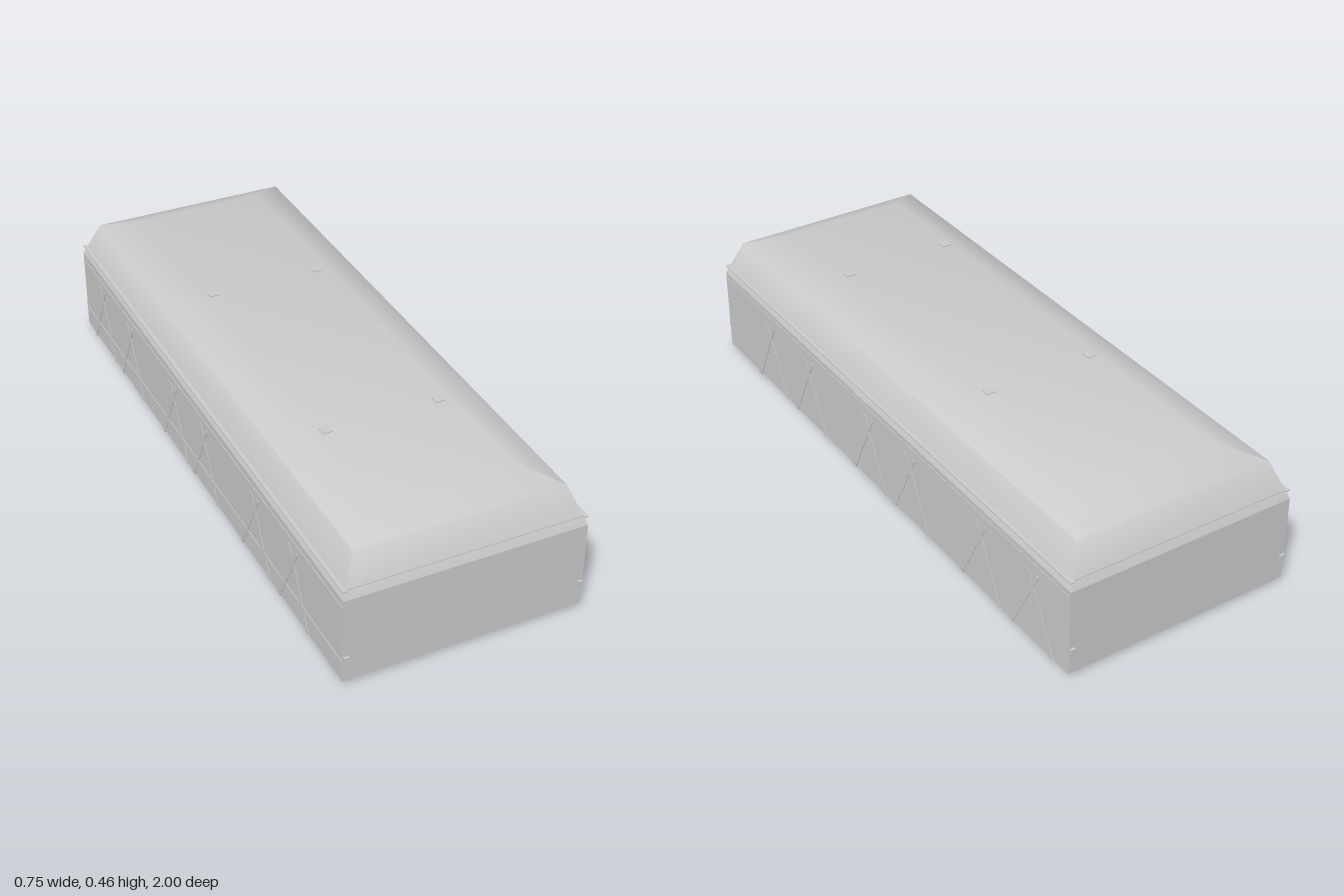
import * as THREE from 'three';
import { toCreasedNormals } from 'three/addons/utils/BufferGeometryUtils.js';

const grey = new THREE.MeshStandardMaterial({ color: 0xcccccc });

function add(parent, name, geometry, x = 0, y = 0, z = 0) {
  const mesh = new THREE.Mesh(geometry, grey);
  mesh.name = name;
  mesh.position.set(x, y, z);
  parent.add(mesh);
  return mesh;
}

const box = (parent, name, w, h, d, x, y, z) =>
  add(parent, name, new THREE.BoxGeometry(w, h, d), x, y, z);

// Rectangular rings [halfWidth, y, halfLength] joined from bottom to top and capped.
function hippedRoof(rings) {
  const points = [];
  const index = [];
  for (const [w, y, l] of rings) points.push(-w, y, l, w, y, l, w, y, -l, -w, y, -l);
  for (let r = 0; r < rings.length - 1; r++) {
    for (let i = 0; i < 4; i++) {
      const a = r * 4 + i;
      const b = r * 4 + (i + 1) % 4;
      index.push(a, b, b + 4, a, b + 4, a + 4);
    }
  }
  const t = (rings.length - 1) * 4;
  index.push(t, t + 1, t + 2, t, t + 2, t + 3);
  const geometry = new THREE.BufferGeometry();
  geometry.setAttribute('position', new THREE.Float32BufferAttribute(points, 3));
  geometry.setIndex(index);
  return toCreasedNormals(geometry, THREE.MathUtils.degToRad(50));
}

// Slanted bar on a side wall, with ends cut level, from (z0, y0) to (z1, y1).
function strutGeometry(z0, z1, y0, y1, width, depth) {
  const h = width / 2;
  const shape = new THREE.Shape([
    new THREE.Vector2(-z0 - h, y0), new THREE.Vector2(-z0 + h, y0),
    new THREE.Vector2(-z1 + h, y1), new THREE.Vector2(-z1 - h, y1),
  ]);
  const geometry = new THREE.ExtrudeGeometry(shape, { depth, bevelEnabled: false });
  return geometry.rotateY(Math.PI / 2);
}

export function createModel() {
  const model = new THREE.Group();
  model.name = 'container';

  // Main shell
  box(model, 'body', 0.742, 0.278, 1.986, 0, 0.151, 0);
  add(model, 'roof', hippedRoof([
    [0.371, 0.29, 0.993], [0.323, 0.408, 0.945], [0.205, 0.457, 0.833],
  ]));

  // Thin trim around the foot of the roof
  for (const s of [-1, 1]) {
    box(model, 'sideTrim', 0.014, 0.004, 1.98, s * 0.364, 0.317, 0);
    box(model, 'endTrim', 0.72, 0.003, 0.008, 0, 0.317, s * 0.979);
  }

  // Crossed A-shaped struts along both walls
  const frames = [[0.78, 0.59], [0.525, 0.33], [0.15, -0.04],
    [-0.09, -0.285], [-0.465, -0.66], [-0.72, -0.915]];
  for (const s of [-1, 1]) {
    const struts = new THREE.Group();
    struts.name = s > 0 ? 'leftStruts' : 'rightStruts';
    model.add(struts);
    const x = s > 0 ? 0.3555 : -0.3725;
    for (const [front, back] of frames) {
      add(struts, 'strut', strutGeometry(front, front - 0.12, 0.006, 0.24, 0.018, 0.017), x);
      add(struts, 'strut', strutGeometry(back, back + 0.12, 0.006, 0.24, 0.018, 0.017), x);
    }
  }

  // Rails on the right wall, small ledge on the left wall
  box(model, 'upperRail', 0.003, 0.014, 1.98, -0.3715, 0.262, 0);
  box(model, 'lowerRail', 0.003, 0.014, 1.98, -0.3715, 0.075, 0);
  box(model, 'upperRail', 0.003, 0.008, 1.98, 0.371, 0.27, 0);
  box(model, 'ledge', 0.006, 0.008, 0.1, 0.37, 0.285, 0.09);

  // Latches at the four end corners
  for (const x of [-0.362, 0.362]) {
    for (const z of [-0.994, 0.994]) box(model, 'latch', 0.016, 0.016, 0.012, x, 0.09, z);
  }

  // Roof pads and feet
  for (const z of [0.5, -0.3]) {
    for (const s of [-1, 1]) {
      box(model, 'roofPad', 0.03, 0.007, 0.03, s * 0.177 - 0.007, 0.4565, z);
      box(model, 'foot', 0.058, 0.014, 0.058, s * 0.177 - 0.007, 0.007, z);
    }
  }

  // Octagonal plate under the floor
  const plate = new THREE.CylinderGeometry(0.195, 0.195, 0.008, 8);
  add(model, 'floorPlate', plate, -0.007, 0.01, 0.095);

  return model;
}
